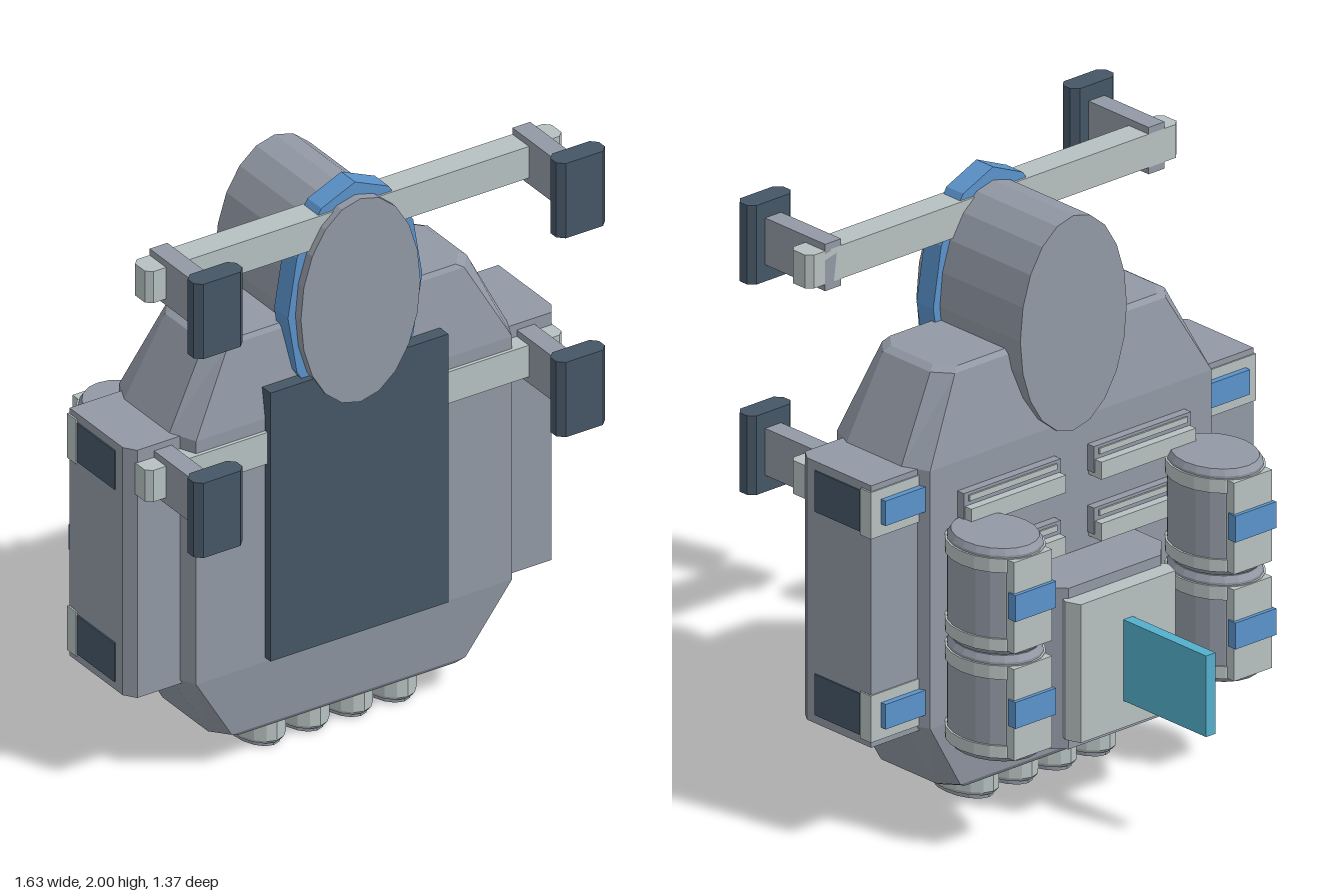
import * as THREE from 'three';

const mat = (name, color, flat = true) => {
  const m = new THREE.MeshStandardMaterial({ color, flatShading: flat });
  m.name = name;
  return m;
};

export function createModel() {
  const root = new THREE.Group();
  root.name = 'equipmentPack';
  const grey = mat('hullGrey', 0x9299a5);
  const light = mat('paleTrim', 0xb7c1c1);
  const dark = mat('darkPadding', 0x455666);
  const blue = mat('blueClip', 0x5b93cb);
  const teal = mat('tealFin', 0x54afcb);

  const add = (name, geo, m) => {
    const mesh = new THREE.Mesh(geo, m);
    mesh.name = name;
    root.add(mesh);
    return mesh;
  };
  // box given by its limits
  const box = (name, m, x0, x1, y0, y1, z0, z1) => {
    const b = add(name, new THREE.BoxGeometry(Math.abs(x1 - x0), y1 - y0, z1 - z0), m);
    b.position.set((x0 + x1) / 2, (y0 + y1) / 2, (z0 + z1) / 2);
    return b;
  };
  // outline in (x, z), extruded upwards from y0 to y1
  const prism = (name, m, pts, y0, y1) => {
    const shape = new THREE.Shape(pts.map(([x, z]) => new THREE.Vector2(x, -z)));
    const geo = new THREE.ExtrudeGeometry(shape, { depth: y1 - y0, bevelEnabled: false });
    geo.rotateX(-Math.PI / 2).translate(0, y0, 0);
    return add(name, geo, m);
  };
  // oval drum standing on y0, tapered at the top and bottom rims by the factor rim
  const drum = (name, m, x, z, rx, rz, y0, y1, rim = 1, bevel = 0, sides = 20) => {
    const h = y1 - y0;
    const profile = [[0, 0], [rim, 0], [1, bevel], [1, h - bevel], [rim, h], [0, h]];
    const geo = new THREE.LatheGeometry(profile.map(([r, y]) => new THREE.Vector2(r, y)), sides);
    geo.scale(rx, 1, rz).translate(x, y0, z);
    return add(name, geo, m);
  };

  // main body: chamfered rectangles lofted upwards [y, halfWidth, back, front, chamferX, chamferZ]
  const levels = [
    [0.11, 0.46, 0.01, 0.365, 0.05, 0.06],
    [0.125, 0.49, 0.0, 0.375, 0.05, 0.06],
    [0.37, 0.635, -0.03, 0.405, 0.04, 0.09],
    [1.25, 0.635, -0.03, 0.405, 0.04, 0.09],
    [1.525, 0.495, 0.02, 0.36, 0.05, 0.06],
    [1.54, 0.47, 0.035, 0.35, 0.05, 0.06],
  ];
  const verts = [], index = [];
  levels.forEach(([y, w, b, f, cx, cz]) => {
    [[w - cx, f], [w, f - cz], [w, b + cz], [w - cx, b], [cx - w, b], [-w, b + cz], [-w, f - cz], [cx - w, f]]
      .forEach(([x, z]) => verts.push(x, y, z));
  });
  const top = (levels.length - 1) * 8;
  for (let l = 0; l < top; l += 8) {
    for (let i = 0; i < 8; i++) {
      const a = l + i, c = l + (i + 1) % 8;
      index.push(a, c, c + 8, a, c + 8, a + 8);
    }
  }
  for (let i = 1; i < 7; i++) index.push(0, i + 1, i, top, top + i, top + i + 1);
  const bodyGeo = new THREE.BufferGeometry();
  bodyGeo.setAttribute('position', new THREE.Float32BufferAttribute(verts, 3));
  bodyGeo.setIndex(index);
  bodyGeo.computeVertexNormals();
  add('body', bodyGeo, grey);

  // padded front panel
  box('frontPanel', dark, -0.335, 0.335, 0.385, 1.355, 0.38, 0.435);

  // oval head drum and its blue collar, both lying along z
  const headGeo = new THREE.CylinderGeometry(1, 1, 0.485, 20);
  headGeo.rotateX(Math.PI / 2).scale(0.225, 0.367, 1);
  add('headDrum', headGeo, grey).position.set(0, 1.588, 0.2);
  const collarGeo = new THREE.CylinderGeometry(1, 1, 0.078, 12);
  collarGeo.rotateX(Math.PI / 2).scale(0.253, 0.412, 1);
  add('headCollar', collarGeo, blue).position.set(0, 1.588, 0.372);

  // crossbars with clipped corners, arms and pads
  for (const y of [1.867, 1.148]) {
    const outline = [[-0.765, 0.325], [0.765, 0.325], [0.785, 0.345], [0.785, 0.4], [0.765, 0.418],
      [-0.765, 0.418], [-0.785, 0.4], [-0.785, 0.345]].reverse();
    prism('crossbar', light, outline, y - 0.057, y + 0.057);
    for (const s of [-1, 1]) {
      box('arm', grey, s * 0.65, s * 0.717, y - 0.08, y + 0.08, 0.325, 0.615);
      const x = s * 0.683, w = 0.092, c = 0.022;
      prism('pad', dark, [[x - w + c, 0.682], [x + w - c, 0.682], [x + w, 0.66], [x + w, 0.627],
        [x + w - c, 0.605], [x - w + c, 0.605], [x - w, 0.627], [x - w, 0.66]], y - 0.137, y + 0.133);
    }
  }

  for (const s of [-1, 1]) {
    // side pod
    const pod = [[0.58, 0.01], [0.58, 0.35], [0.78, 0.35], [0.808, 0.31], [0.808, 0.01]];
    const outline = pod.map(([x, z]) => [s * x, z]);
    prism('sidePod', grey, s > 0 ? outline : outline.reverse(), 0.355, 1.25);
    for (const y of [1.15, 0.455]) {
      box('podWindow', dark, s * 0.806, s * 0.813, y - 0.07, y + 0.07, 0.06, 0.27);
      box('podBracket', light, s * 0.6, s * 0.814, y - 0.08, y + 0.08, 0.005, 0.055);
      box('podClip', blue, s * 0.585, s * 0.77, y - 0.04, y + 0.045, -0.016, 0.01);
    }

    // stacked tanks with pale end bands, back strap and clip
    const tx = s * 0.465, tz = -0.19;
    for (const y0 of [0.335, 0.7]) {
      const y1 = y0 + 0.362;
      drum('tank', grey, tx, tz, 0.138, 0.168, y0, y1, 0.92, 0.02);
      drum('tankBand', light, tx, tz, 0.145, 0.175, y0 + 0.018, y0 + 0.06);
      drum('tankBand', light, tx, tz, 0.145, 0.175, y1 - 0.075, y1 - 0.028);
      box('tankStrap', light, tx - 0.08, tx + 0.08, y0 + 0.02, y1 - 0.03, -0.367, -0.33);
      box('tankClip', blue, tx - 0.086, tx + 0.086, y0 + 0.135, y0 + 0.225, -0.38, -0.345);
    }

    // two stepped vent slats on the back
    for (const y of [1.1, 0.89]) {
      box('ventBase', grey, s * 0.07, s * 0.48, y - 0.04, y + 0.05, -0.06, -0.02);
      box('ventSlat', light, s * 0.075, s * 0.475, y - 0.055, y + 0.005, -0.09, -0.02);
      box('ventTrim', light, s * 0.09, s * 0.46, y + 0.02, y + 0.04, -0.066, -0.05);
    }
  }

  // rear housing with pale hatch and fin
  prism('rearHousing', grey, [[0.27, -0.02], [0.27, -0.155], [0.195, -0.235],
    [-0.195, -0.235], [-0.27, -0.155], [-0.27, -0.02]], 0.25, 0.8);
  prism('rearHatch', light, [[0.21, -0.225], [0.22, -0.245], [0.2, -0.297],
    [-0.2, -0.297], [-0.22, -0.245], [-0.21, -0.225]], 0.293, 0.765);
  box('fin', teal, -0.02, 0.02, 0.385, 0.662, -0.683, -0.28);

  // row of thrusters below
  for (let i = 0; i < 4; i++) {
    const x = (i - 1.5) * 0.164;
    drum('thruster', light, x, 0.2, 0.086, 0.14, 0.015, 0.115, 0.93, 0.012, 16);
    drum('thrusterCap', grey, x, 0.2, 0.072, 0.12, 0, 0.02, 1, 0, 16);
  }
  return root;
}
